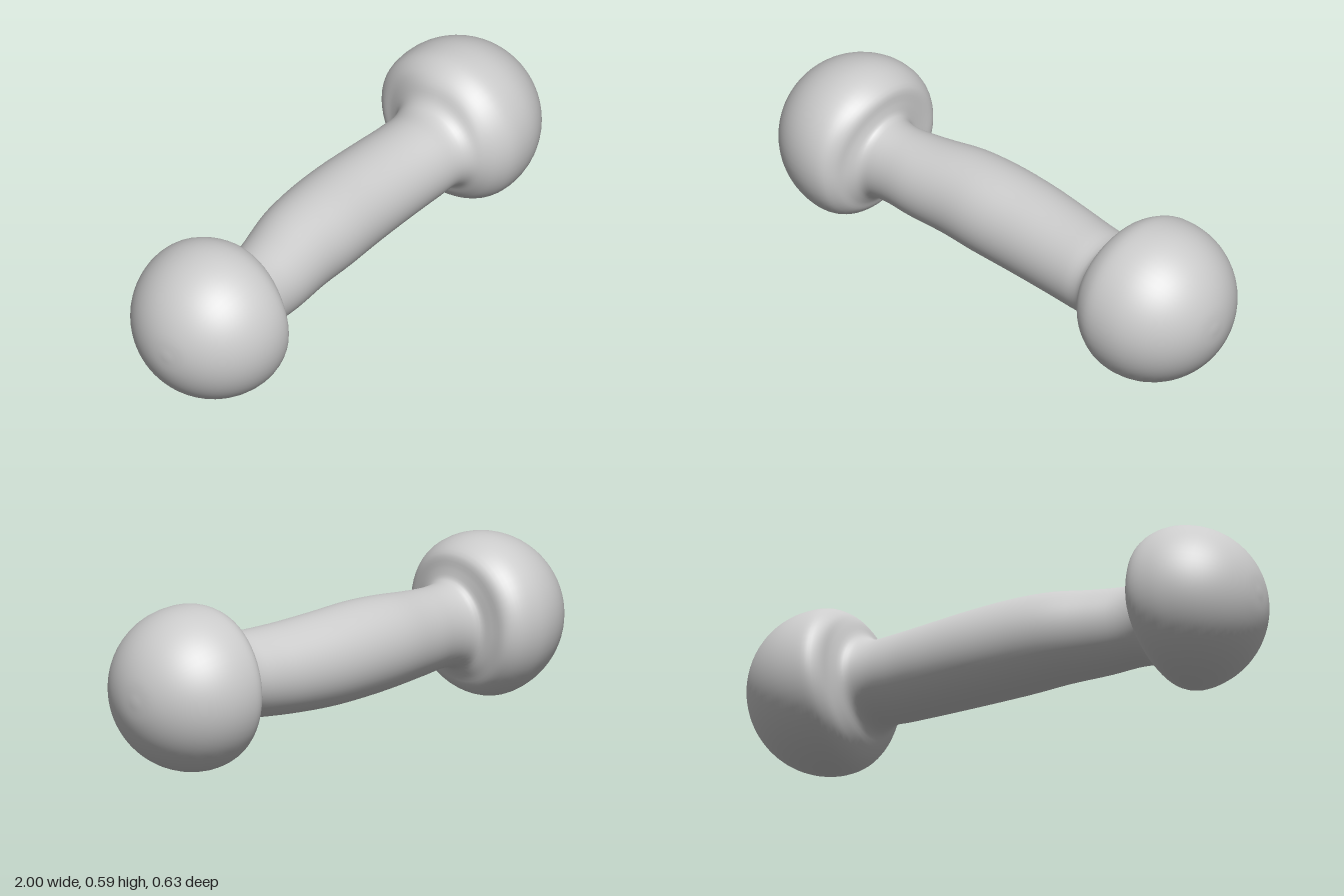
import * as THREE from 'three';
import { mergeVertices } from 'three/addons/utils/BufferGeometryUtils.js';

// Silhouette rails [x, offset] between the two widest rings, with equal counts
const rails = {
  top: [[-0.64, 0.585], [-0.582, 0.545], [-0.574, 0.49], [-0.562, 0.452], [-0.51, 0.44], [-0.38, 0.446],
    [-0.22, 0.464], [-0.08, 0.469], [0.1, 0.462], [0.28, 0.453], [0.42, 0.45], [0.51, 0.452],
    [0.545, 0.478], [0.57, 0.53], [0.6, 0.562], [0.65, 0.588]],
  bottom: [[-0.66, 0.03], [-0.625, 0.06], [-0.605, 0.1], [-0.575, 0.133], [-0.51, 0.145], [-0.38, 0.139],
    [-0.22, 0.133], [-0.08, 0.126], [0.1, 0.123], [0.28, 0.129], [0.42, 0.139], [0.51, 0.145],
    [0.555, 0.126], [0.58, 0.08], [0.61, 0.041], [0.65, 0.015]],
  back: [[-0.63, -0.302], [-0.588, -0.262], [-0.584, -0.2], [-0.575, -0.15], [-0.51, -0.135], [-0.38, -0.154],
    [-0.22, -0.182], [-0.08, -0.19], [0.1, -0.185], [0.28, -0.164], [0.42, -0.142], [0.52, -0.135],
    [0.575, -0.148], [0.605, -0.19], [0.622, -0.235], [0.655, -0.267]],
  front: [[-0.65, 0.253], [-0.618, 0.22], [-0.6, 0.175], [-0.57, 0.138], [-0.51, 0.13], [-0.38, 0.138],
    [-0.22, 0.14], [-0.08, 0.148], [0.1, 0.151], [0.28, 0.164], [0.42, 0.182], [0.49, 0.195],
    [0.525, 0.215], [0.55, 0.247], [0.585, 0.28], [0.64, 0.308]],
};

const CAP = 6;      // rail steps on each rounded end
const SUB = 4;      // smooth rings per rail step
const SIDES = 56;

// Complete a rail with a quarter circle over each rounded end
function makeRail(points, axis, sign) {
  const ends = [
    { dir: -1, centre: axis === 'y' ? 0.307 : -0.027, r: 0.292 },
    { dir: 1, centre: axis === 'y' ? 0.299 : 0.02, r: 0.295 },
  ];
  const [start, finish] = ends.map(({ dir, centre, r }) =>
    Array.from({ length: CAP + 1 }, (_, i) => {
      const a = (i / CAP) * Math.PI / 2;
      return [dir * (0.71 + 0.29 * Math.cos(a)), centre + sign * r * Math.sin(a)];
    }));
  const all = [...start, ...points, ...finish.reverse()];
  return {
    steps: all.length - 1,
    curve: new THREE.CatmullRomCurve3(all.map(([x, v]) => new THREE.Vector3(x, v, 0))),
  };
}

// Skin elliptical rings stretched between the four rails
function boneGeometry() {
  const top = makeRail(rails.top, 'y', 1);
  const bottom = makeRail(rails.bottom, 'y', -1);
  const back = makeRail(rails.back, 'z', -1);
  const front = makeRail(rails.front, 'z', 1);
  const rings = top.steps * SUB;
  const position = [];
  const index = [];

  for (let i = 0; i <= rings; i++) {
    const [t, b, k, f] = [top, bottom, back, front].map((r) => r.curve.getPoint(i / rings));
    for (let j = 0; j < SIDES; j++) {
      const a = (j / SIDES) * Math.PI * 2;
      const s = Math.sin(a), c = Math.cos(a);
      const x = s * s * (s > 0 ? t.x : b.x) + c * c * (c > 0 ? f.x : k.x);
      position.push(x, (t.y + b.y) / 2 + s * (t.y - b.y) / 2, (f.y + k.y) / 2 + c * (f.y - k.y) / 2);
      if (i === rings) continue;
      const p = i * SIDES + j, q = i * SIDES + (j + 1) % SIDES;
      if (i < rings - 1) index.push(p, p + SIDES, q + SIDES);
      else index.push(p, p + SIDES, q);
      if (i > 0 && i < rings - 1) index.push(p, q + SIDES, q);
    }
  }

  let geometry = new THREE.BufferGeometry();
  geometry.setAttribute('position', new THREE.Float32BufferAttribute(position, 3));
  geometry.setIndex(index);
  geometry = mergeVertices(geometry, 1e-5); // joins the tips
  geometry.computeVertexNormals();
  return geometry;
}

export function createModel() {
  const group = new THREE.Group();
  group.name = 'dumbbell';
  // Shaft and both rounded ends are one continuous skin
  const body = new THREE.Mesh(boneGeometry(), new THREE.MeshStandardMaterial({ color: 0xcccccc }));
  body.name = 'shaftWithRoundedEnds';
  group.add(body);
  return group;
}
